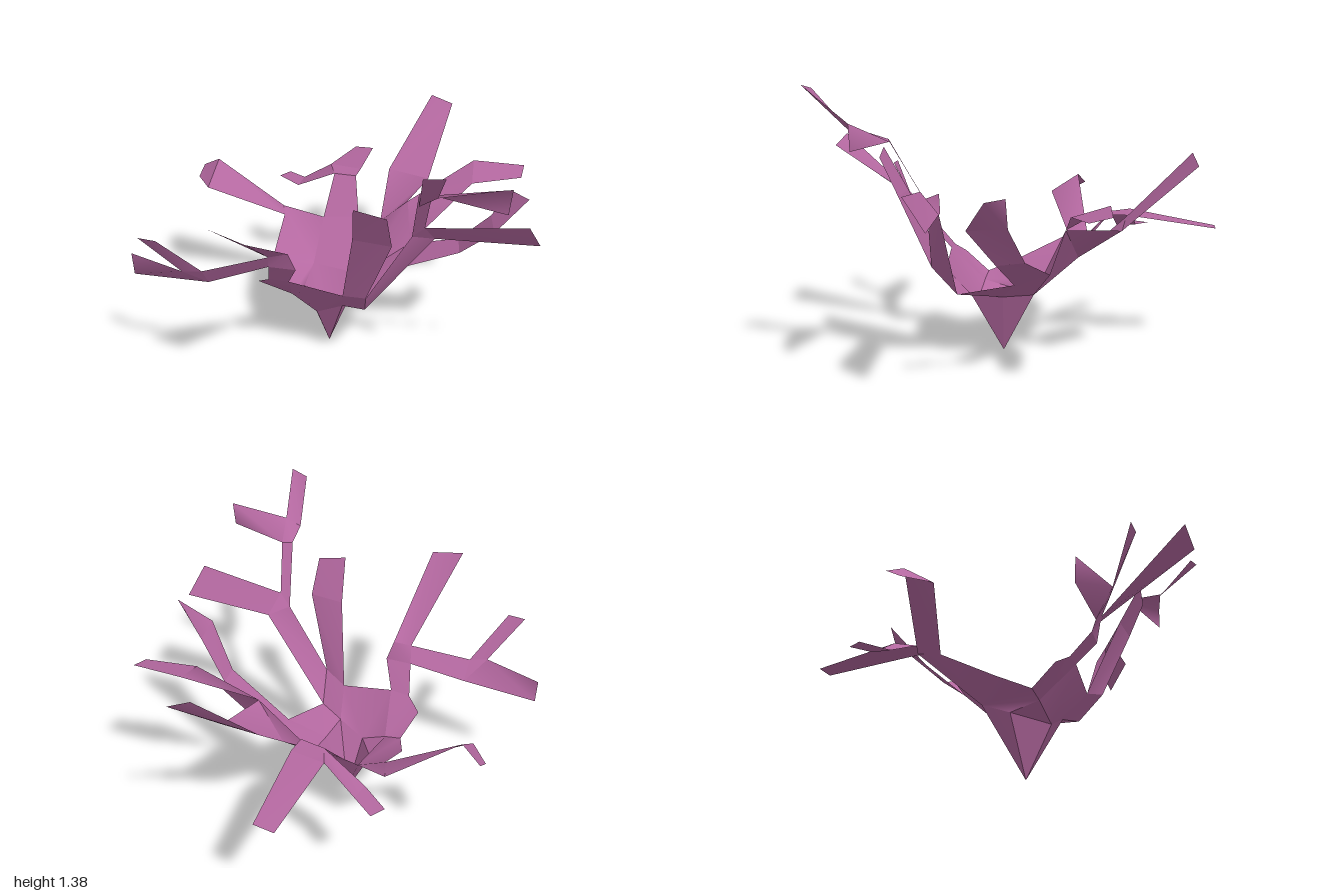
import * as THREE from 'three';
import { mergeGeometries } from 'three/addons/utils/BufferGeometryUtils.js';

const material = new THREE.MeshStandardMaterial({
  color: 0xb468a0, side: THREE.DoubleSide, roughness: 0.9,
});

// One facet fanned from its first corner, with its own normals
function facet(points) {
  const index = [];
  for (let i = 1; i < points.length - 1; i++) index.push(0, i, i + 1);
  const g = new THREE.BufferGeometry();
  g.setAttribute('position', new THREE.Float32BufferAttribute(points.flat(), 3));
  g.setIndex(index);
  g.computeVertexNormals();
  return g;
}

function part(name, geometry) {
  const mesh = new THREE.Mesh(geometry, material);
  mesh.name = name;
  return mesh;
}

const panel = (name, ...points) => part(name, facet(points));

// A folded ribbon through pairs of edge points
function ribbon(name, ...pairs) {
  const facets = [];
  for (let i = 0; i < pairs.length - 1; i++) {
    const [a, b] = pairs[i], [c, d] = pairs[i + 1];
    facets.push(facet([a, b, d, c]));
  }
  return part(name, mergeGeometries(facets));
}

export function createModel() {
  const group = new THREE.Group();
  group.name = 'coral';

  // Shared corners of the cup: the foot, the inner ring and the rim
  const foot = [-0.03, 0, 0.02];
  const ringRight = [-0.22, 0.32, 0.07], ringFrontRight = [-0.1, 0.25, 0.135];
  const ringFront = [0.02, 0.32, 0.2], ringLeft = [0.085, 0.31, 0.055];
  const ringBackLeft = [0.14, 0.325, -0.085];
  const ringBackRight = [-0.15, 0.285, -0.06], ringBack = [-0.095, 0.34, -0.19];
  const backL = [0.15, 0.54, -0.31], backR = [-0.03, 0.52, -0.36];
  const cornerL = [0.26, 0.53, -0.27], peakL = [0.385, 0.695, -0.165];
  const sideL = [0.39, 0.49, -0.09], sideFrontL = [0.275, 0.42, 0.05];
  const frontL = [0.12, 0.35, 0.29], frontLTop = [0.11, 0.49, 0.41];
  const frontMid = [0.01, 0.453, 0.32];
  const frontR = [-0.24, 0.495, 0.24], sideFrontR = [-0.335, 0.49, 0.2];
  const sideR = [-0.385, 0.44, 0.13], sideLowR = [-0.3, 0.345, 0.03];
  const backSideR = [-0.31, 0.4, -0.14];
  const shoulderR = [-0.235, 0.53, -0.385], cornerR = [-0.235, 0.53, -0.49];

  // Forks shared by the branching ribbons
  const elbowLow = [-0.335, 0.62, 0.305], elbowHigh = [-0.335, 0.7, 0.355];
  const forkTop = [-0.64, 0.635, 0.345], forkOut = [-0.73, 0.64, 0.345], forkLow = [-0.615, 0.54, 0.285];
  const splitA = [0.305, 0.84, 0.465], splitB = [0.355, 0.9, 0.5], splitC = [0.415, 0.805, 0.43];
  const stemA = [0.3, 1.13, 0.625], stemB = [0.355, 1.125, 0.63];
  const crownA = [0.275, 1.15, 0.775], crownB = [0.35, 1.19, 0.785];
  const backA = [0.03, 0.705, -0.62], backB = [0.185, 0.705, -0.545], backC = [0.04, 0.7, -0.51];

  group.add(
    // Pointed foot
    panel('footBack', foot, ringBackLeft, ringBack, ringBackRight),
    panel('footRight', foot, ringBackRight, ringFrontRight),
    panel('footFront', foot, ringFrontRight, ringFront),
    panel('footFrontLeft', foot, ringFront, ringLeft),
    panel('footLeft', foot, ringLeft, ringBackLeft),

    // Cup
    panel('cupBack', ringBack, ringBackLeft, backL, backR),
    panel('cupBackLeftInner', ringBackLeft, cornerL, backL),
    panel('cupBackLeft', ringBackLeft, sideL, peakL, cornerL),
    panel('cupLeft', ringLeft, sideFrontL, sideL, ringBackLeft),
    panel('cupFrontLeft', ringLeft, ringFront, frontL, sideFrontL),
    panel('cupFrontCorner', ringFront, frontMid, frontLTop, frontL),
    panel('cupFront', ringFrontRight, ringRight, frontR, frontMid, ringFront),
    panel('cupRightLow', ringFrontRight, ringRight, ringBackRight),
    panel('cupRight', ringRight, sideLowR, sideR, sideFrontR, frontR),
    panel('cupBackRight', ringBack, backR, cornerR, shoulderR, backSideR, sideLowR, ringRight, ringBackRight),

    // Back branches
    ribbon('backBranch', [backR, backL], [backC, [0.15, 0.705, -0.46]], [backA, backB],
      [[0.205, 0.635, -1], [0.3, 0.64, -0.96]]),
    ribbon('backTwig', [backC, backA], [[-0.15, 0.585, -0.62], [-0.11, 0.59, -0.71]],
      [[-0.245, 0.58, -0.76], [-0.185, 0.58, -0.81]]),
    ribbon('backRightBranch', [shoulderR, cornerR], [[-0.63, 0.69, -0.415], [-0.57, 0.79, -0.55]],
      [[-0.68, 0.69, -0.555], [-0.65, 0.73, -0.62]]),
    ribbon('backLeftBranch', [cornerL, peakL], [[0.33, 0.73, -0.48], [0.525, 0.71, -0.385]],
      [[0.58, 1.06, -0.69], [0.69, 1.015, -0.67]]),

    // Left branches
    ribbon('leftBranch', [peakL, sideL], [[0.73, 0.87, -0.25], [0.69, 0.82, -0.085]],
      [[0.97, 0.87, -0.17], [0.935, 0.845, -0.08]]),
    ribbon('leftCurledBranch', [sideL, sideFrontL], [[0.6, 0.61, 0.09], [0.58, 0.6, 0.215]],
      [[0.725, 0.79, 0.2], [0.7, 0.79, 0.375]], [[0.8, 0.935, 0.23], [0.86, 0.935, 0.335]]),

    // Front branches
    ribbon('frontBranch', [frontMid, frontLTop], [[0.035, 0.855, 0.5], [0.2, 0.855, 0.575]],
      [[0.025, 1.06, 0.61], [0.165, 1.03, 0.65]]),
    ribbon('frontLeftBranch', [frontLTop, frontL], [splitA, splitC]),
    panel('frontLeftFork', splitA, splitC, splitB),
    ribbon('frontLeftBlade', [splitB, splitC], [[0.78, 0.96, 0.65], [0.86, 0.825, 0.57]]),
    ribbon('frontLeftStem', [splitA, splitB], [stemA, stemB], [crownA, crownB],
      [[0.255, 1.355, 0.945], [0.335, 1.375, 0.995]]),
    ribbon('frontLeftTwig', [stemB, crownB], [[0.63, 1.125, 0.83], [0.64, 1.24, 0.835]]),

    // Right branches
    ribbon('frontRightBranch', [sideFrontR, frontR], [elbowLow, [-0.21, 0.62, 0.345]],
      [elbowHigh, [-0.245, 0.715, 0.36]], [[-0.585, 1.055, 0.715], [-0.43, 1.015, 0.79]]),
    ribbon('rightBranch', [elbowHigh, elbowLow], [forkTop, forkLow]),
    panel('rightFork', forkTop, forkLow, forkOut),
    ribbon('rightLowTwig', [forkOut, forkLow], [[-0.975, 0.64, 0.16], [-0.97, 0.525, 0.155]]),
    ribbon('rightHighTwig', [forkOut, forkTop], [[-0.905, 0.855, 0.405], [-0.825, 0.855, 0.44]]),
  );
  return group;
}
